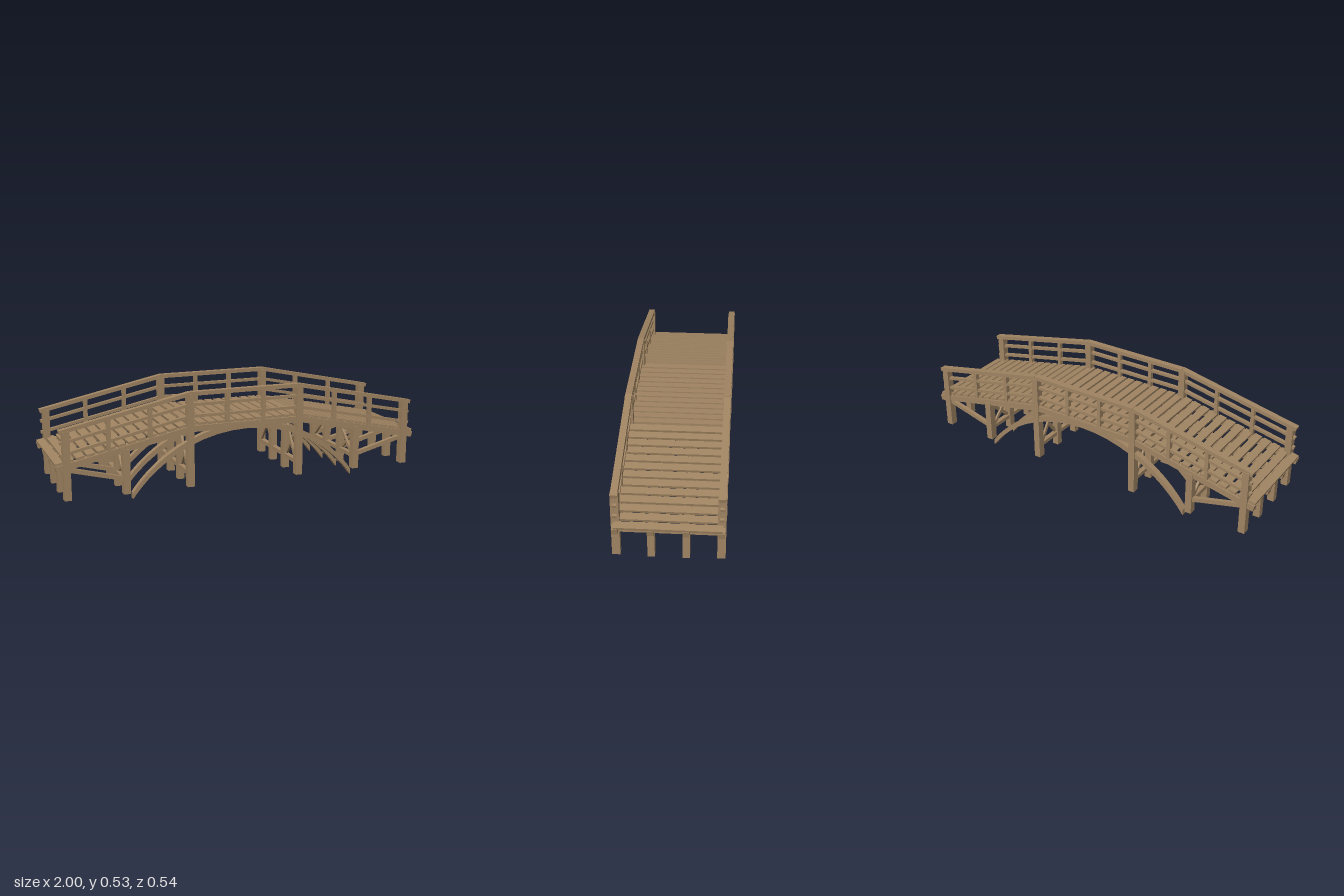
import * as THREE from 'three';

const wood = new THREE.MeshStandardMaterial({ color: 0xa08462 });
wood.name = 'weathered wood';

const ROWS = [-0.249, -0.083, 0.083, 0.249]; // frame lines across the width
const SIDES = [-1, 1];
const KNEE = 0.305; // where the level span meets the ramps
const SLOPE = 0.21;

// height of the bridge line at x, given its height over the level span
const lineY = (x, top) => top - Math.max(0, Math.abs(x) - KNEE) * SLOPE;

function box(parent, name, w, h, d, x, y, z) {
  const mesh = new THREE.Mesh(new THREE.BoxGeometry(w, h, d), wood);
  mesh.name = name;
  mesh.position.set(x, y, z);
  parent.add(mesh);
  return mesh;
}

// upright from y0 to y1
const upright = (parent, name, w, d, x, y0, y1, z) =>
  box(parent, name, w, y1 - y0, d, x, (y0 + y1) / 2, z);

// beam in a plane of constant z, between two points
function beamX(parent, name, x0, y0, x1, y1, z, h, d) {
  const m = box(parent, name, Math.hypot(x1 - x0, y1 - y0), h, d, (x0 + x1) / 2, (y0 + y1) / 2, z);
  m.rotation.z = Math.atan2(y1 - y0, x1 - x0);
}

// beam in a plane of constant x, between two points
function beamZ(parent, name, z0, y0, z1, y1, x, h, w) {
  const m = box(parent, name, w, h, Math.hypot(z1 - z0, y1 - y0), x, (y0 + y1) / 2, (z0 + z1) / 2);
  m.rotation.x = -Math.atan2(y1 - y0, z1 - z0);
}

// level span plus two ramps following the bridge line
function bentBeam(parent, name, top, end, z, h, d) {
  box(parent, name, KNEE * 2, h, d, 0, top, z);
  for (const s of SIDES) {
    beamX(parent, name, s * KNEE, top, s * end, lineY(end, top), z, h, d);
  }
}

// curved rib with constant vertical thickness
function archGeometry() {
  const half = 0.615, rise = 0.313, t = 0.032, n = 24;
  const r = (half * half + rise * rise) / (2 * rise);
  const y = (x) => rise - r + Math.sqrt(r * r - x * x);
  const pts = [];
  for (let i = 0; i <= n; i++) {
    const x = half * Math.sin((i / n - 0.5) * Math.PI);
    pts.push(new THREE.Vector2(x, Math.max(0, y(x))));
  }
  const upper = pts.map((p) => new THREE.Vector2(p.x, p.y + t)).reverse();
  const geo = new THREE.ExtrudeGeometry(new THREE.Shape([...pts, ...upper]), { depth: 0.032, bevelEnabled: false });
  return geo.translate(0, 0, -0.016);
}

export function createModel() {
  const bridge = new THREE.Group();
  bridge.name = 'woodenBridge';
  const group = (name) => {
    const g = new THREE.Group();
    g.name = name;
    bridge.add(g);
    return g;
  };

  // stringers, arches and side struts on each frame line
  const frame = group('frame');
  const arch = archGeometry();
  for (const z of ROWS) {
    bentBeam(frame, 'stringer', 0.335, 0.998, z, 0.032, 0.03);
    const rib = new THREE.Mesh(arch, wood);
    rib.name = 'archRib';
    rib.position.z = z;
    frame.add(rib);
    for (const s of SIDES) {
      beamX(frame, 'strut', s * 0.945, 0.185, s * 0.645, 0.107, z, 0.022, 0.022);
    }
  }

  // support posts; the outer end and knee posts rise to the handrail
  const posts = group('posts');
  for (const s of SIDES) {
    for (const px of [0.945, 0.645, KNEE]) {
      for (const z of ROWS) {
        const outer = Math.abs(z) > 0.2;
        const toRail = outer && px !== 0.645;
        const top = lineY(px, toRail ? 0.515 : 0.335);
        upright(posts, toRail ? 'railPost' : 'supportPost', 0.036, outer ? 0.04 : 0.035, s * px, outer ? 0.03 : 0.025, top, z);
      }
    }
  }

  // cross beams and diagonal bracing between posts
  const bracing = group('crossBracing');
  for (const s of SIDES) {
    for (const px of [0.945, 0.645, KNEE]) {
      const top = lineY(px, 0.312);
      box(bracing, 'crossBeam', 0.026, 0.03, 0.5, s * px, top, 0);
      if (px === 0.945) continue;
      box(bracing, 'lowerCrossBeam', 0.026, 0.021, 0.5, s * px, 0.098, 0);
      for (const side of SIDES) {
        beamZ(bracing, 'diagonalBrace', side * 0.24, 0.1, side * 0.09, top, s * px - 0.005, 0.018, 0.012);
        beamZ(bracing, 'diagonalBrace', side * 0.09, 0.1, side * 0.24, top, s * px + 0.005, 0.018, 0.012);
      }
    }
  }

  // deck planks
  const deck = group('deck');
  const count = 38, pitch = 1.96 / (count - 1);
  for (let i = 0; i < count; i++) {
    const x = -0.98 + i * pitch;
    const plank = box(deck, 'plank', 0.041, 0.013, 0.51, x, lineY(x, 0.358), 0);
    if (Math.abs(x) > KNEE) plank.rotation.z = -Math.sign(x) * Math.atan(SLOPE);
  }

  // railings
  const railing = group('railings');
  for (const side of SIDES) {
    const z = side * 0.249;
    bentBeam(railing, 'handrail', 0.518, 0.978, z, 0.02, 0.034);
    for (const y of [0.46, 0.4]) bentBeam(railing, 'midRail', y, 0.975, z, 0.015, 0.02);
    for (const s of SIDES) {
      for (const px of [0.1, 0.515, 0.73]) {
        upright(railing, 'baluster', 0.02, 0.024, s * px, lineY(px, 0.34), lineY(px, 0.515), z);
      }
    }
  }

  return bridge;
}
